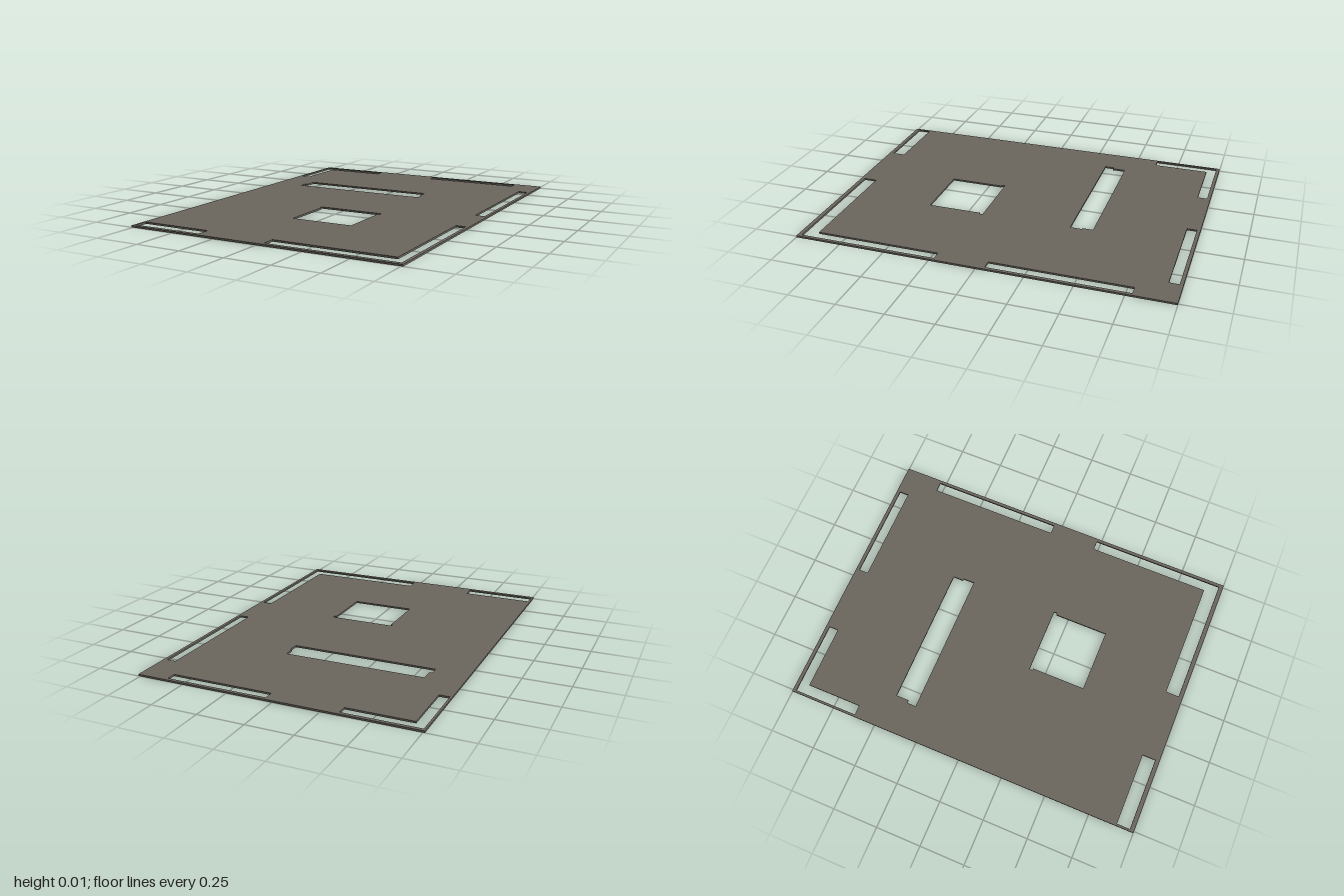
import * as THREE from 'three';

const THICKNESS = 0.01;

// Corner points are [x, z] on the plan
const toPoints = (corners) => corners.map(([x, z]) => new THREE.Vector2(x, z));
const rect = (x0, z0, x1, z1) => [[x0, z0], [x1, z0], [x1, z1], [x0, z1]];

export function createModel() {
  const model = new THREE.Group();
  model.name = 'slottedFloorPlate';

  const warmGrey = new THREE.MeshStandardMaterial({ color: 0x6b675e });
  warmGrey.name = 'warmGrey';

  const openings = [
    // Edge slots, two of them turning a corner
    [[-0.748, -0.981], [-0.341, -0.981], [-0.341, -0.929], [-0.693, -0.929], [-0.693, -0.622], [-0.748, -0.622]],
    rect(0.042, -0.981, 0.596, -0.929),
    rect(0.69, -0.783, 0.742, -0.045),
    [[0.69, 0.226], [0.742, 0.226], [0.742, 0.977], [0.032, 0.977], [0.032, 0.905], [0.69, 0.905]],
    rect(-0.748, 0.905, -0.352, 0.977),
    // Long slot with stepped ends
    [[-0.561, -0.458], [0.212, -0.458], [0.212, -0.4], [0.222, -0.4],
      [0.222, -0.336], [-0.577, -0.336], [-0.577, -0.386], [-0.561, -0.386]],
    // Square opening with a slightly wider lip
    [[-0.137, 0.159], [0.233, 0.159], [0.233, 0.177], [0.221, 0.177],
      [0.221, 0.475], [-0.127, 0.475], [-0.127, 0.177], [-0.137, 0.177]],
  ];

  // Thin plate with all openings cut through, laid flat on the ground
  const outline = new THREE.Shape(toPoints(rect(-0.76, -1, 0.76, 1)));
  outline.holes = openings.map((corners) => new THREE.Path(toPoints(corners)));
  const geometry = new THREE.ExtrudeGeometry(outline, { depth: THICKNESS, bevelEnabled: false });
  geometry.rotateX(Math.PI / 2).translate(0, THICKNESS, 0);

  const plate = new THREE.Mesh(geometry, warmGrey);
  plate.name = 'floorPlate';
  model.add(plate);
  return model;
}
